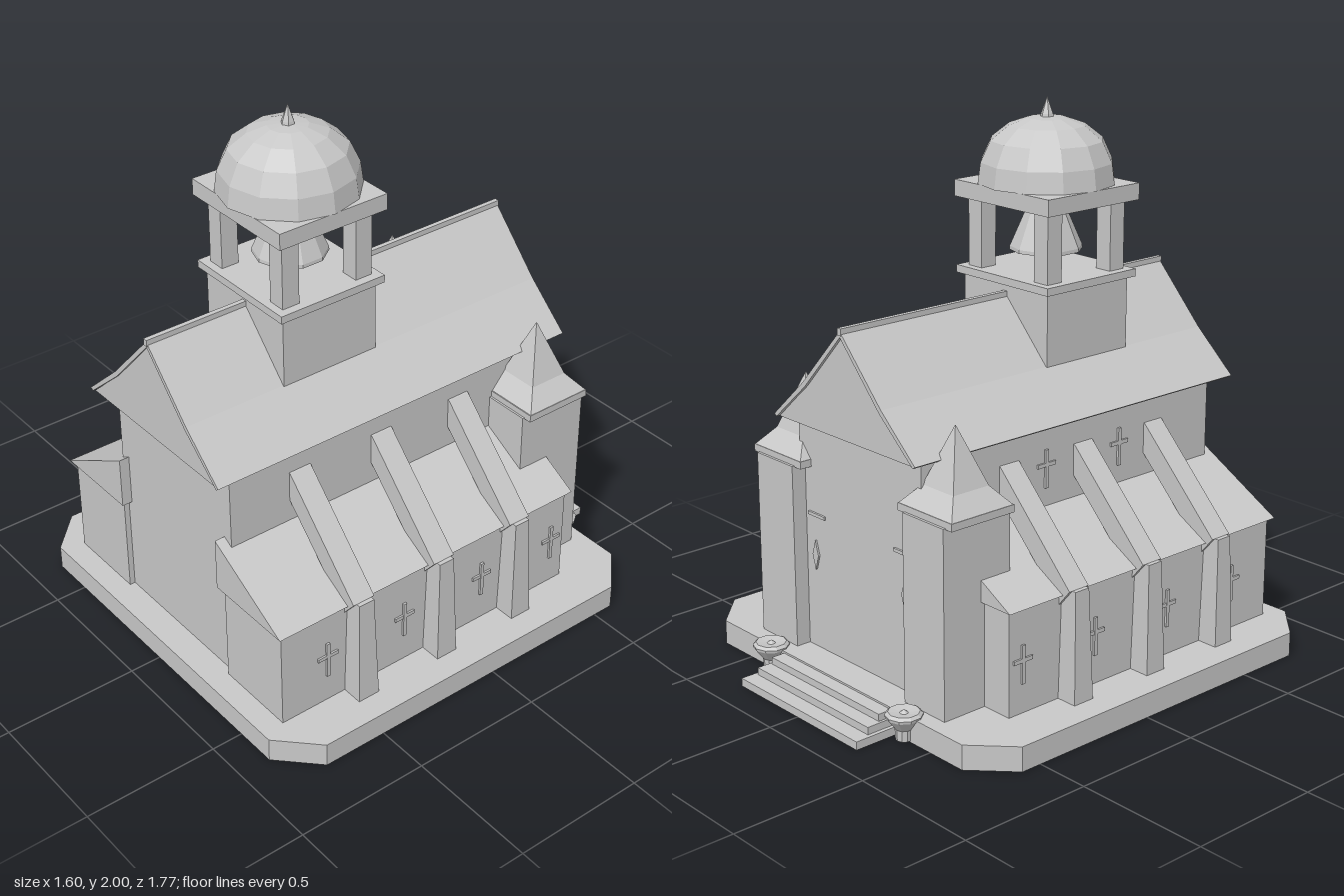
import * as THREE from 'three';

export function createModel() {
  const root = new THREE.Group();
  const stone = new THREE.MeshStandardMaterial({ color: 0xc8c8c8, flatShading: true, side: THREE.DoubleSide });
  stone.name = 'plain grey stone';

  const add = (name, geo, x = 0, y = 0, z = 0) => {
    const m = new THREE.Mesh(geo, stone);
    m.name = name;
    m.position.set(x, y, z);
    root.add(m);
    return m;
  };
  // Box given by its limits on each axis
  const box = (name, x0, x1, y0, y1, z0, z1) =>
    add(name, new THREE.BoxGeometry(Math.abs(x1 - x0), y1 - y0, z1 - z0),
      (x0 + x1) / 2, (y0 + y1) / 2, (z0 + z1) / 2);
  // Outline in x, y drawn out along z; side mirrors it
  const prism = (name, pts, z0, z1, side = 1) => {
    const shape = new THREE.Shape(pts.map(([x, y]) => new THREE.Vector2(x * side, y)));
    return add(name, new THREE.ExtrudeGeometry(shape, { depth: z1 - z0, bevelEnabled: false }), 0, 0, z0);
  };
  const lathe = (name, pts, sides, x, z) =>
    add(name, new THREE.LatheGeometry(pts.map(([r, y]) => new THREE.Vector2(r, y)), sides), x, 0, z);
  // Square frustum
  const frustum = (name, rBottom, rTop, y0, y1, x, z) => {
    const g = new THREE.CylinderGeometry(rTop * Math.SQRT2, rBottom * Math.SQRT2, y1 - y0, 4);
    g.rotateY(Math.PI / 4);
    return add(name, g, x, (y0 + y1) / 2, z);
  };
  // Drop a run of corners from a geometry, to leave it open
  const openUp = (geo, from, to) => {
    const all = geo.index ? [...geo.index.array] : [...geo.attributes.position.array.keys()]
      .slice(0, geo.attributes.position.count);
    geo.setIndex(all.filter((_, i) => i < from || i >= to));
    geo.clearGroups();
  };

  // Plinth with cut corners, hollow underneath
  const plan = [[-0.66, -0.882], [0.66, -0.882], [0.8, -0.745], [0.8, 0.58],
    [0.66, 0.717], [-0.66, 0.717], [-0.8, 0.58], [-0.8, -0.745]];
  const plinth = new THREE.ExtrudeGeometry(
    new THREE.Shape(plan.map(([x, y]) => new THREE.Vector2(x, y))), { depth: 0.09, bevelEnabled: false });
  openUp(plinth, 0, 18);
  plinth.rotateX(-Math.PI / 2);
  add('plinth', plinth);

  // Entrance steps at the back, open underneath
  [[0.325, 0.03, -0.885], [0.31, 0.057, -0.825], [0.3, 0.083, -0.77]].forEach(([w, h, z]) =>
    openUp(box('step', -w, w, 0, h, z, -0.717).geometry, 18, 24));

  // Nave and its slightly kinked roof
  box('nave', -0.33, 0.33, 0.092, 0.95, -0.6, 0.776);
  prism('gable', [[-0.365, 0.942], [0.365, 0.942], [0.2, 1.09], [0, 1.305], [-0.2, 1.09]], -0.655, 0.845);
  prism('roof', [[0.368, 0.942], [0.38, 0.95], [0.21, 1.102], [0, 1.325], [-0.21, 1.102],
    [-0.38, 0.95], [-0.368, 0.942], [-0.2, 1.088], [0, 1.303], [0.2, 1.088]], -0.667, 0.853);
  box('ridge', -0.009, 0.009, 1.31, 1.335, -0.67, 0.857);

  for (const s of [1, -1]) {
    // Side aisle with lean-to roof
    box('aisle', 0.31 * s, 0.625 * s, 0.092, 0.476, -0.48, 0.797);
    prism('aisleRoof', [[0.29, 0.473], [0.645, 0.473], [0.29, 0.67]], -0.495, 0.815, s);

    // Flying buttresses on tapered piers
    for (const z of [0.488, 0.137, -0.212]) {
      const pier = new THREE.BoxGeometry(0.08, 0.403, 0.086);
      const p = pier.attributes.position;
      for (let i = 0; i < p.count; i++) {
        if (p.getY(i) < 0) continue;
        p.setZ(i, p.getZ(i) * 0.72);
        if (p.getX(i) * s > 0) p.setX(i, p.getX(i) - 0.014 * s);
      }
      add('buttressPier', pier, 0.665 * s, 0.2935, z);
      prism('buttressArm', [[0.32, 0.848], [0.335, 0.842], [0.675, 0.495], [0.625, 0.435], [0.32, 0.74]],
        z - 0.044, z + 0.044, s);
    }

    // Cross windows in the aisle, and in the upper wall on one side
    const cross = (x, y, z) => {
      box('windowUpright', x, x + 0.008 * s, y - 0.085, y + 0.055, z - 0.007, z + 0.007);
      box('windowBar', x, x + 0.007 * s, y - 0.007, y + 0.007, z - 0.042, z + 0.042);
    };
    for (const z of [0.605, 0.27, -0.085, -0.42]) cross(0.625 * s, 0.285, z);
    if (s < 0) for (const z of [0.315, -0.04]) cross(0.33 * s, 0.8, z);

    // Corner turret with flared cap
    box('turret', 0.3 * s, 0.505 * s, 0.092, 0.772, -0.657, -0.367);
    box('turretCornice', 0.265 * s, 0.535 * s, 0.768, 0.795, -0.647, -0.375);
    frustum('turretEaves', 0.133, 0.077, 0.795, 0.86, 0.4 * s, -0.512);
    frustum('turretSpire', 0.077, 0.001, 0.86, 1.065, 0.4 * s, -0.512);

    // Entrance wall ornaments
    prism('wallDiamond', [[0.245, 0.39], [0.262, 0.445], [0.245, 0.5], [0.228, 0.445]], -0.607, -0.6, s);
    box('wallBar', 0.19 * s, 0.28 * s, 0.59, 0.602, -0.608, -0.6);

    // Planter beside the steps
    lathe('planter', [[0, 0.005], [0.03, 0.005], [0.032, 0.045], [0.064, 0.086],
      [0.066, 0.096], [0.055, 0.106], [0.015, 0.1], [0, 0.112]], 10, 0.372 * s, -0.72);
  }

  // Belfry
  const bz = 0.266;
  box('belfryBase', -0.215, 0.215, 1.1, 1.365, bz - 0.195, bz + 0.195);
  box('belfryFloor', -0.237, 0.237, 1.362, 1.39, bz - 0.216, bz + 0.216);
  for (const x of [-0.17, 0.17])
    for (const z of [-0.152, 0.152])
      box('belfryPost', x - 0.034, x + 0.034, 1.385, 1.645, bz + z - 0.034, bz + z + 0.034);
  box('belfryCornice', -0.242, 0.242, 1.64, 1.7, bz - 0.22, bz + 0.22);

  // Bell, hollow underneath
  lathe('bell', [[0, 1.59], [0.05, 1.58], [0.11, 1.457], [0.131, 1.457], [0.13, 1.47],
    [0.067, 1.615], [0, 1.62]], 10, 0, bz);
  lathe('bellRod', [[0, 1.44], [0.01, 1.44], [0.01, 1.65]], 6, 0, bz);
  lathe('clapper', [[0, 1.42], [0.022, 1.42], [0.022, 1.445], [0.035, 1.457], [0, 1.46]], 8, 0, bz);

  // Dome and finial
  lathe('dome', [[0, 1.7], [0.248, 1.7], [0.238, 1.775], [0.203, 1.85], [0.138, 1.902],
    [0.07, 1.926], [0, 1.932]], 12, 0, bz);
  lathe('finial', [[0, 1.92], [0.025, 1.925], [0.022, 1.94], [0, 2]], 6, 0, bz);

  return root;
}
